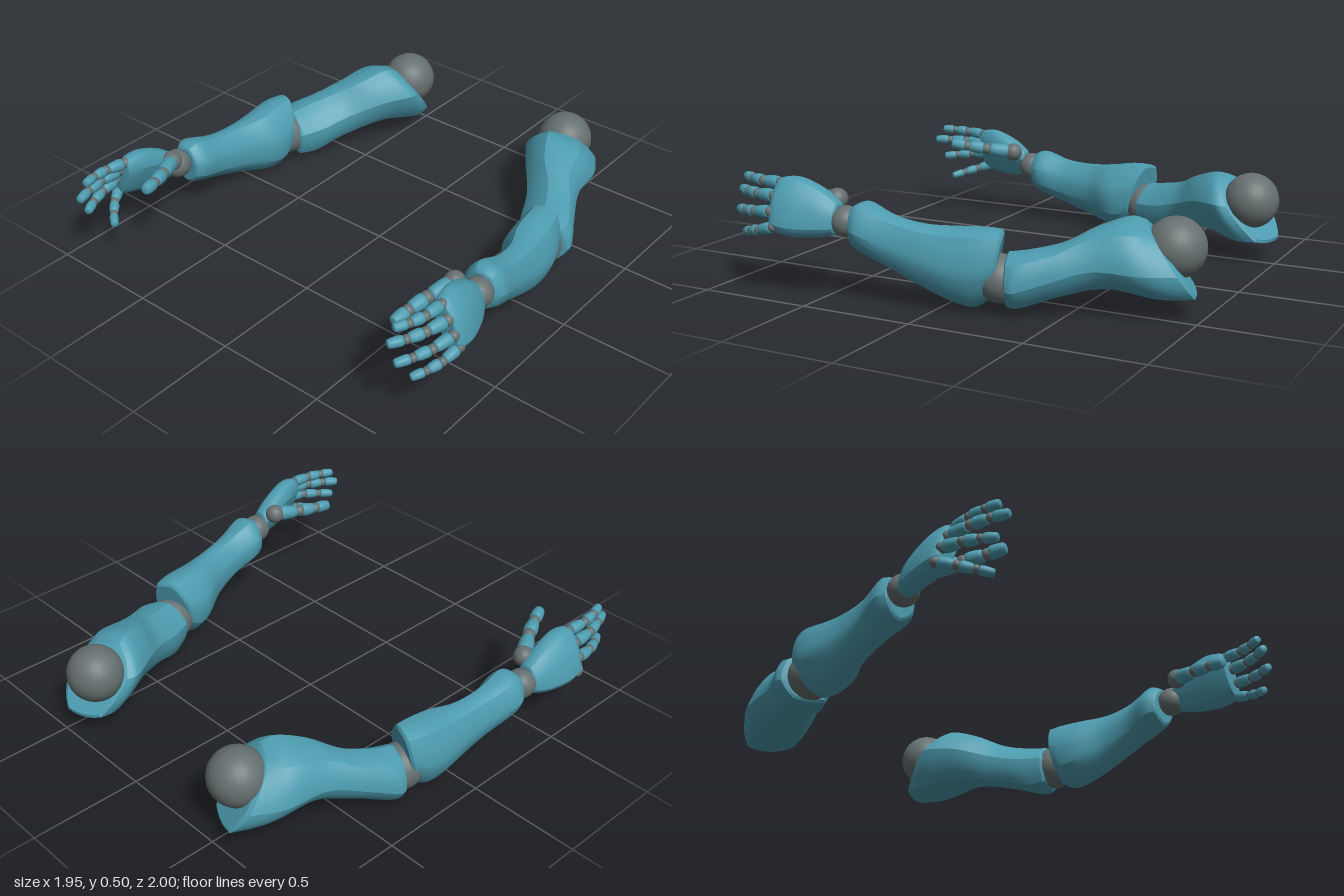
import * as THREE from 'three';
import { toCreasedNormals } from 'three/addons/utils/BufferGeometryUtils.js';

const shellMat = new THREE.MeshStandardMaterial({ color: 0x4d9cb0 });
const jointMat = new THREE.MeshStandardMaterial({ color: 0x667070 });
const V3 = (x, y, z) => new THREE.Vector3(x, y, z);
const step = THREE.MathUtils.smoothstep;

// Corners of the faceted cross-sections: u points outward, v points up
const UPPER = [[-0.97, 0.2], [-0.15, 1], [0.75, 0.7], [1, -0.25], [0.5, -0.95], [-0.7, -0.9]];
const FORE = [[-0.98, 0.25], [-0.35, 0.98], [0.65, 0.85], [1, -0.05], [0.6, -0.75], [0, -1], [-0.9, -0.45]];
const PALM = [[-0.9, 0.6], [-0.2, 1], [0.7, 0.8], [1, 0.1], [0.7, -0.8], [-0.2, -1], [-0.9, -0.6]];

// Subdivide a section, bulging each side between its corners
function roundSection(corners, n = 5, bulge = 0.07) {
  const out = [];
  corners.forEach(([u, v], i) => {
    const [u2, v2] = corners[(i + 1) % corners.length];
    const du = u2 - u, dv = v2 - v;
    for (let k = 0; k < n; k++) {
      const t = k / n, b = 4 * t * (1 - t) * bulge;
      out.push([u + du * t - dv * b, v + dv * t + du * b]);
    }
  });
  return out;
}

// Ring from its inner and outer edge, bottom, top and the forward lean of the top
const ring = ([xi, zi, xo, zo, yb, yt, lean]) => ({
  c: V3((xi + xo) / 2, (yb + yt) / 2, (zi + zo) / 2),
  u: V3((xo - xi) / 2, 0, (zo - zi) / 2),
  v: V3(0, (yt - yb) / 2, lean),
});

// Ring across the tilted palm, with half thickness and half breadth
const palmRing = ([x, y, z, thick, broad]) => ({
  c: V3(x, y, z),
  u: V3(0.917, 0.4, 0).multiplyScalar(thick),
  v: V3(-0.4, 0.917, 0).multiplyScalar(broad),
});

// The right arm is a mirrored copy held wider at the shoulder and lower at the wrist
function pose(p, side) {
  if (side > 0) return p;
  const { x, y, z } = p;
  return V3(
    -(x + 0.1 - 0.06 * step(z, -0.35, 0.2) - 0.03 * step(z, 0.42, 0.7)),
    y - 0.07 * step(z, -0.3, 0.4),
    z + 0.02 * step(z, 0, 0.4));
}

// Smooth skin through rings, with small bevelled rims and closed ends
function loft(rings, corners, side, steps = 26) {
  const section = roundSection(corners), n = section.length;
  const [C, U, W] = ['c', 'u', 'v'].map(k =>
    new THREE.CatmullRomCurve3(rings.map(r => r[k]), false, 'catmullrom'));
  const pos = [], idx = [];
  const addRing = (t, s) => {
    const c = C.getPoint(t), u = U.getPoint(t), w = W.getPoint(t);
    for (const [a, b] of section) {
      const p = c.clone().addScaledVector(u, a * s).addScaledVector(w, b * s);
      pos.push(...pose(p, side).toArray());
    }
  };
  const list = [[0, 0.9]];
  for (let i = 0; i <= steps; i++) list.push([0.02 + 0.96 * i / steps, 1]);
  list.push([1, 0.9]);
  list.forEach(([t, s]) => addRing(t, s));
  const tri = (a, b, c) => (side > 0 ? idx.push(a, b, c) : idx.push(a, c, b));
  for (let j = 0; j < list.length - 1; j++) for (let i = 0; i < n; i++) {
    const a = j * n + i, d = j * n + (i + 1) % n;
    tri(a, a + n, d);
    tri(d, a + n, d + n);
  }
  const first = pos.length / 3, end = (list.length - 1) * n;
  pos.push(...pose(C.getPoint(0), side).toArray(), ...pose(C.getPoint(1), side).toArray());
  for (let i = 0; i < n; i++) {
    const k = (i + 1) % n;
    tri(first, i, k);
    tri(first + 1, end + k, end + i);
  }
  const g = new THREE.BufferGeometry();
  g.setAttribute('position', new THREE.Float32BufferAttribute(pos, 3));
  g.setIndex(idx);
  return toCreasedNormals(g, 0.36);
}

function add(parent, name, geo, mat) {
  const m = new THREE.Mesh(geo, mat);
  m.name = name;
  parent.add(m);
  return m;
}

function ball(parent, name, p, r) {
  add(parent, name, new THREE.SphereGeometry(r, 28, 18), jointMat).position.copy(p);
}

// Tapered shell of one finger bone, unit length and radius
const bone = new THREE.LatheGeometry(
  [[0, 0], [0.75, 0], [0.95, 0.08], [1, 0.3], [0.93, 0.65], [0.82, 0.9], [0.6, 0.98], [0, 1]]
    .map(([x, y]) => new THREE.Vector2(x, y)), 14);

// Three shells with ball joints, bent along a curve
function finger(parent, name, base, bend, tip, r) {
  const g = new THREE.Group();
  g.name = name;
  parent.add(g);
  const curve = new THREE.QuadraticBezierCurve3(base, bend, tip);
  const pts = [0, 0.42, 0.73, 1].map(t => curve.getPoint(t));
  for (let i = 0; i < 3; i++) {
    const size = r * (1 - 0.1 * i), a = pts[i], b = pts[i + 1];
    ball(g, name + 'Joint', a, size * 0.88);
    const from = a.clone().lerp(b, 0.14), to = a.clone().lerp(b, i < 2 ? 0.9 : 1);
    const m = add(g, name + 'Segment', bone, shellMat);
    m.position.copy(from);
    m.scale.set(size, from.distanceTo(to), size);
    m.quaternion.setFromUnitVectors(V3(0, 1, 0), to.sub(from).normalize());
  }
}

const upperArm = [
  [0.30, -0.82, 0.55, -0.92, 0.10, 0.38, 0.11],
  [0.29, -0.75, 0.63, -0.79, 0.095, 0.395, 0.08],
  [0.37, -0.62, 0.665, -0.61, 0.125, 0.355, 0.04],
  [0.475, -0.475, 0.735, -0.475, 0.085, 0.30, 0],
  [0.535, -0.34, 0.80, -0.36, 0.04, 0.27, -0.01],
  [0.59, -0.23, 0.80, -0.31, 0.045, 0.255, 0],
].map(ring);

const forearm = [
  [0.61, -0.20, 0.79, -0.27, 0.06, 0.345, -0.03],
  [0.61, -0.14, 0.83, -0.18, 0.02, 0.35, -0.02],
  [0.63, -0.06, 0.85, -0.06, 0.035, 0.345, 0],
  [0.70, 0.06, 0.857, 0.06, 0.09, 0.35, 0],
  [0.725, 0.19, 0.872, 0.19, 0.15, 0.375, 0],
  [0.71, 0.31, 0.90, 0.31, 0.20, 0.42, 0],
  [0.735, 0.365, 0.88, 0.365, 0.225, 0.405, 0],
].map(ring);

const palm = [
  [0.835, 0.345, 0.43, 0.045, 0.065],
  [0.855, 0.365, 0.50, 0.056, 0.10],
  [0.88, 0.385, 0.60, 0.06, 0.125],
  [0.893, 0.392, 0.67, 0.052, 0.118],
  [0.893, 0.392, 0.70, 0.04, 0.10],
].map(palmRing);

// Name, base, radius, left tip, right tip
const digits = [
  ['indexFinger', [0.865, 0.475, 0.69], 0.027, [0.81, 0.475, 0.915], [-0.86, 0.42, 0.95]],
  ['middleFinger', [0.90, 0.425, 0.70], 0.028, [0.805, 0.415, 0.945], [-0.855, 0.36, 0.995]],
  ['ringFinger', [0.93, 0.365, 0.70], 0.027, [0.835, 0.335, 0.94], [-0.87, 0.27, 0.95]],
  ['littleFinger', [0.945, 0.305, 0.68], 0.025, [0.87, 0.25, 0.885], [-0.805, 0.18, 0.865]],
  ['thumb', [0.77, 0.41, 0.48], 0.036, [0.71, 0.37, 0.79], [-0.665, 0.385, 0.785]],
];

function arm(side) {
  const g = new THREE.Group();
  g.name = side > 0 ? 'leftArm' : 'rightArm';
  const at = (x, y, z) => pose(V3(x, y, z), side);
  ball(g, 'shoulderJoint', at(0.418, 0.285, -0.875), 0.125);
  add(g, 'upperArm', loft(upperArm, UPPER, side), shellMat);
  ball(g, 'elbowJoint', at(0.70, 0.148, -0.245), 0.1);
  add(g, 'forearm', loft(forearm, FORE, side), shellMat);
  ball(g, 'wristJoint', at(0.825, 0.335, 0.4), 0.066);
  add(g, 'palm', loft(palm, PALM, side), shellMat);
  for (const [name, base, r, leftTip, rightTip] of digits) {
    const a = at(...base), tip = V3(...(side > 0 ? leftTip : rightTip));
    const bend = a.clone().lerp(tip, 0.5);
    bend.x += side * (name === 'thumb' ? -0.02 : 0.035);
    finger(g, name, a, bend, tip, r);
    if (name === 'thumb') ball(g, 'thumbBaseJoint', a, 0.045);
  }
  return g;
}

export function createModel() {
  const model = new THREE.Group();
  model.name = 'armPair';
  model.add(arm(1), arm(-1));
  return model;
}
